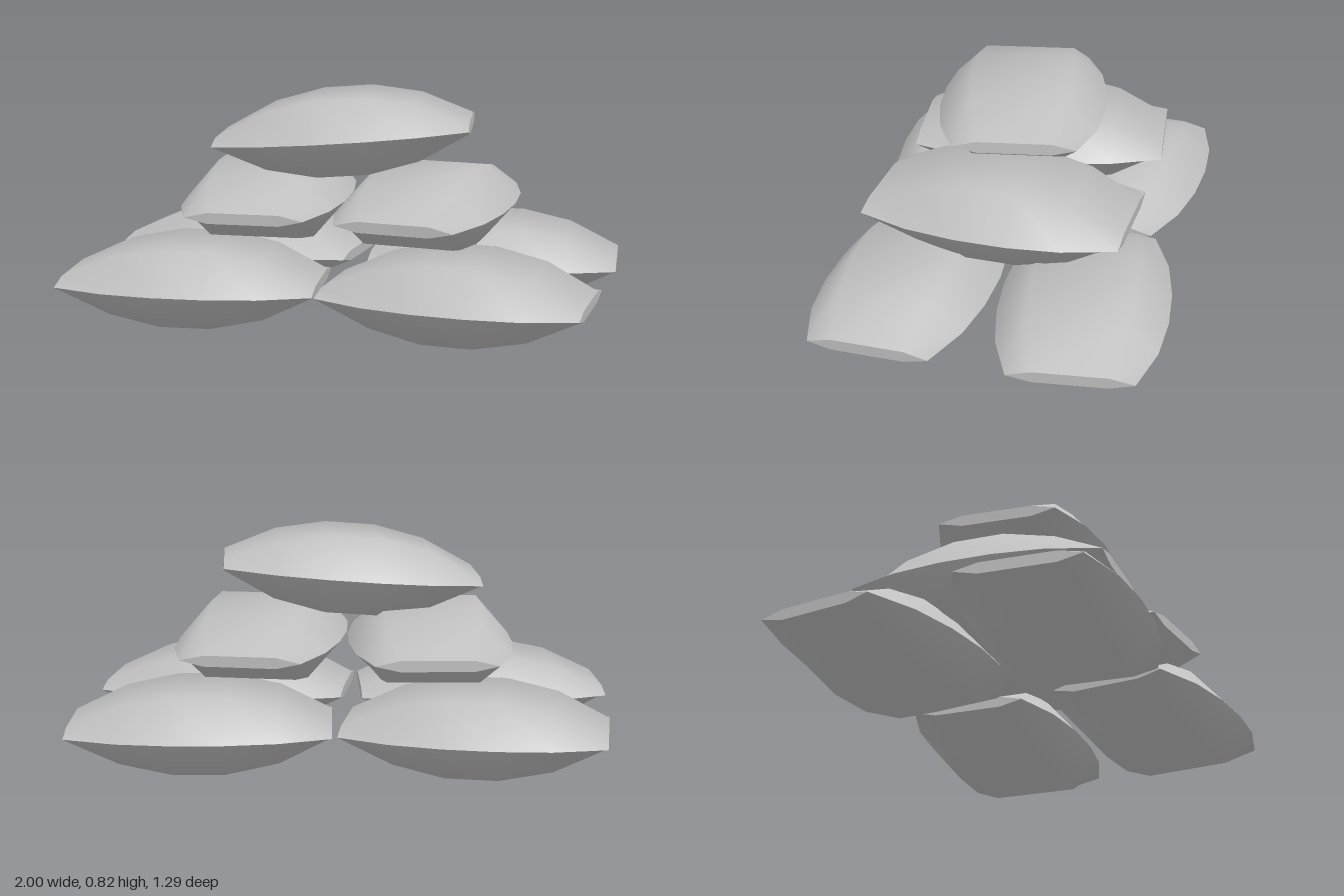
import * as THREE from 'three';
import { toCreasedNormals } from 'three/addons/utils/BufferGeometryUtils.js';

// Stations along one filled sack: [x, half width, half height]
const STATIONS = [
  [-0.475, 0.219, 0.02], [-0.285, 0.281, 0.105], [-0.095, 0.305, 0.142],
  [0.095, 0.305, 0.142], [0.285, 0.281, 0.105], [0.475, 0.219, 0.02],
];
// Six-sided section as [z, y] fractions
const SECTION = [[1, 0], [0.6, 1], [-0.6, 1], [-1, 0], [-0.6, -1], [0.6, -1]];

function sackGeometry() {
  const n = SECTION.length;
  const last = (STATIONS.length - 1) * n;
  const positions = [];
  const index = [];
  for (const [x, w, h] of STATIONS) {
    for (const [z, y] of SECTION) positions.push(x, y * h, z * w);
  }
  // Skin between neighbouring sections
  for (let i = 0; i < STATIONS.length - 1; i++) {
    for (let j = 0; j < n; j++) {
      const a = i * n + j, b = i * n + (j + 1) % n;
      index.push(a, a + n, b, b, a + n, b + n);
    }
  }
  // Flat end caps
  for (let j = 1; j < n - 1; j++) {
    index.push(0, j, j + 1);
    index.push(last, last + j + 1, last + j);
  }
  const geometry = new THREE.BufferGeometry();
  geometry.setAttribute('position', new THREE.Float32BufferAttribute(positions, 3));
  geometry.setIndex(index);
  return toCreasedNormals(geometry, 1.0);
}

// name, x, y, z, turn about y, tilt about z
const SACKS = [
  ['bottomSackFrontRight', -0.5, 0.143, 0.33, 0.115, 0],
  ['bottomSackFrontLeft', 0.493, 0.143, 0.307, -0.058, 0],
  ['bottomSackBackRight', -0.492, 0.143, -0.322, -0.094, 0],
  ['bottomSackBackLeft', 0.509, 0.143, -0.336, 0.081, 0],
  ['middleSackRight', -0.31, 0.405, -0.012, -1.483, 0],
  ['middleSackLeft', 0.318, 0.405, 0.002, -1.637, 0],
  ['topSack', -0.01, 0.667, 0.002, 0.14, 0.08],
];

export function createModel() {
  const group = new THREE.Group();
  group.name = 'sackPile';
  const cloth = new THREE.MeshStandardMaterial({ color: 0xbfbfbf });
  cloth.name = 'grey cloth';
  const geometry = sackGeometry();
  for (const [name, x, y, z, turn, tilt] of SACKS) {
    const sack = new THREE.Mesh(geometry, cloth);
    sack.name = name;
    sack.position.set(x, y, z);
    sack.rotation.set(0, turn, tilt);
    group.add(sack);
  }
  return group;
}
